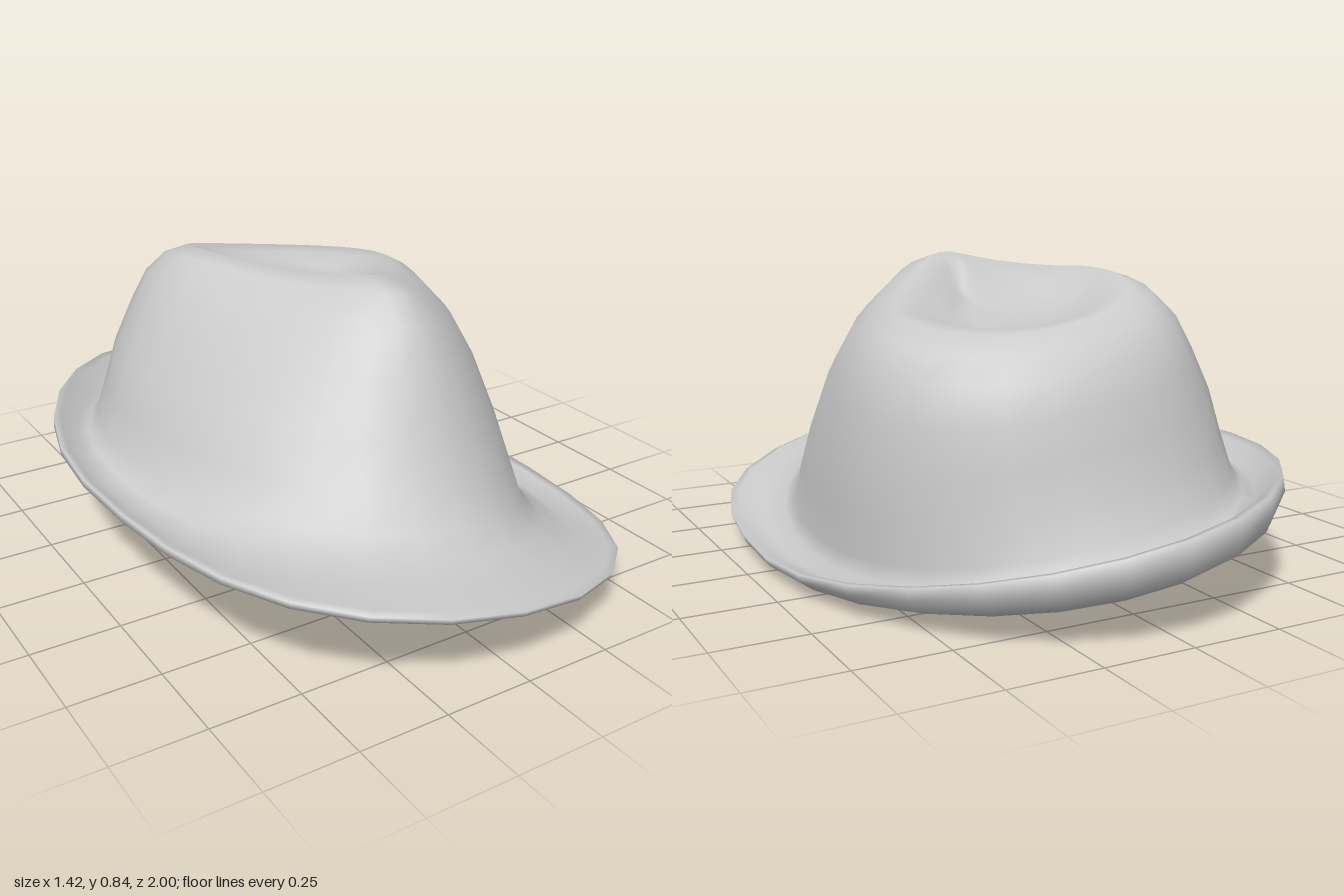
import * as THREE from 'three';

const SIDES = 28;

// Each ring: [zFront, zMid, zBack, halfWidth, yFront, ySide, yBack, front pinch, xMid, xFront, back fullness]
const brim = [
  [0.68, -0.08, -0.80, 0.53, 0.245, 0.17, 0.18, -0.02, -0.02, -0.04, 0.1], // head opening
  [0.78, -0.06, -0.87, 0.60, 0.205, 0.125, 0.135, -0.1, -0.03, -0.05, 0.05],
  [0.88, -0.05, -0.93, 0.645, 0.18, 0.105, 0.13, -0.2, -0.03, -0.055, 0],
  [0.96, -0.05, -0.98, 0.69, 0.175, 0.125, 0.16, -0.28, -0.03, -0.06, 0],
  [0.99, -0.05, -1.0, 0.718, 0.185, 0.15, 0.215, -0.3, -0.03, -0.06, 0],
  [0.995, -0.05, -0.995, 0.722, 0.20, 0.172, 0.26, -0.3, -0.03, -0.06, 0], // lip
  [0.975, -0.05, -0.97, 0.70, 0.208, 0.165, 0.255, -0.28, -0.03, -0.06, 0],
  [0.88, -0.06, -0.91, 0.645, 0.22, 0.14, 0.18, -0.2, -0.03, -0.055, 0],
  [0.78, -0.08, -0.86, 0.60, 0.24, 0.155, 0.18, -0.1, -0.03, -0.05, 0.05],
];
const crown = [
  [0.71, -0.1, -0.825, 0.572, 0.275, 0.20, 0.23, 0, -0.02, -0.04, 0.1],
  [0.645, -0.1, -0.785, 0.55, 0.355, 0.30, 0.32, 0.03, -0.02, -0.04, 0.15],
  [0.58, -0.12, -0.755, 0.52, 0.47, 0.425, 0.43, 0.09, -0.02, -0.05, 0.2],
  [0.505, -0.15, -0.73, 0.465, 0.625, 0.58, 0.53, 0.2, -0.018, -0.06, 0.25],
  [0.445, -0.18, -0.695, 0.415, 0.74, 0.685, 0.615, 0.32, -0.02, -0.08, 0.3],
  [0.375, -0.2, -0.645, 0.36, 0.81, 0.75, 0.675, 0.48, -0.025, -0.1, 0.3],
  [0.27, -0.2, -0.58, 0.305, 0.832, 0.774, 0.715, 0.6, -0.035, -0.11, 0.25], // crest
  [0.20, -0.22, -0.51, 0.25, 0.79, 0.755, 0.71, 0.65, -0.05, -0.12, 0.15],
  [0.15, -0.25, -0.46, 0.19, 0.72, 0.705, 0.70, 0.65, -0.06, -0.11, 0],
  [0.03, -0.26, -0.39, 0.11, 0.695, 0.69, 0.69, 0.5, -0.06, -0.09, 0], // teardrop dent
];

// The lining follows the crown just inside: walls move in, the dented top moves down
const T = 0.03, CREST = 6;
const lining = [
  brim[0],
  ...crown.map(([zf, zm, zb, w, yf, ys, yb, ...rest], i) => {
    const inset = i <= CREST ? T : 0, drop = i < 4 ? 0 : T;
    return [zf - inset, zm, zb + inset, w - inset, yf - drop, ys - drop, yb - drop, ...rest];
  }),
];

function ringPoints([zf, zm, zb, w, yf, ys, yb, pinch, xMid, xFront, full]) {
  const out = [];
  for (let j = 0; j < SIDES; j++) {
    const t = (j / SIDES) * Math.PI * 2, c = Math.cos(t);
    const f = Math.max(c, 0), b = Math.max(-c, 0);
    // the crown tapers to a point, the brim squares off
    const taper = 1 - pinch * (pinch > 0 ? f : f * f) + full * b;
    const x = w * Math.sin(t) * taper + xMid + (xFront - xMid) * f * f;
    const z = zm + (zf - zm) * f + (zb - zm) * b;
    const y = ys + (yf - ys) * f * f + (yb - ys) * Math.pow(b, 1.4);
    out.push(x, y, z);
  }
  return out;
}

// Skin the rings and close the last one with a pole vertex
function loft(name, rings, poleY, flip) {
  const pos = rings.flatMap(ringPoints), index = [];
  const pole = rings.length * SIDES;
  pos.push(-0.06, poleY, -0.25);
  const tri = (a, b, c) => (flip ? index.push(a, c, b) : index.push(a, b, c));
  for (let i = 0; i < rings.length; i++) {
    for (let j = 0; j < SIDES; j++) {
      const k = (j + 1) % SIDES, a = i * SIDES + j, b = i * SIDES + k;
      if (i === rings.length - 1) tri(a, b, pole);
      else {
        tri(a, b, b + SIDES);
        tri(a, b + SIDES, a + SIDES);
      }
    }
  }
  const geo = new THREE.BufferGeometry();
  geo.setAttribute('position', new THREE.Float32BufferAttribute(pos, 3));
  geo.setIndex(index);
  geo.rotateZ(-0.165); // worn at a tilt, lower on the left
  geo.computeVertexNormals();
  const mesh = new THREE.Mesh(geo, new THREE.MeshStandardMaterial({ color: 0xcccccc, side: THREE.DoubleSide }));
  mesh.name = name;
  return mesh;
}

export function createModel() {
  const hat = new THREE.Group();
  hat.name = 'hat';
  hat.add(loft('brimAndCrown', [...brim, ...crown], 0.69, false));
  hat.add(loft('innerLining', lining, 0.66, true));

  // Centre it and stand it on the ground
  const box = new THREE.Box3().setFromObject(hat);
  const mid = box.getCenter(new THREE.Vector3());
  for (const part of hat.children) part.geometry.translate(-mid.x, -box.min.y, -mid.z);
  return hat;
}
